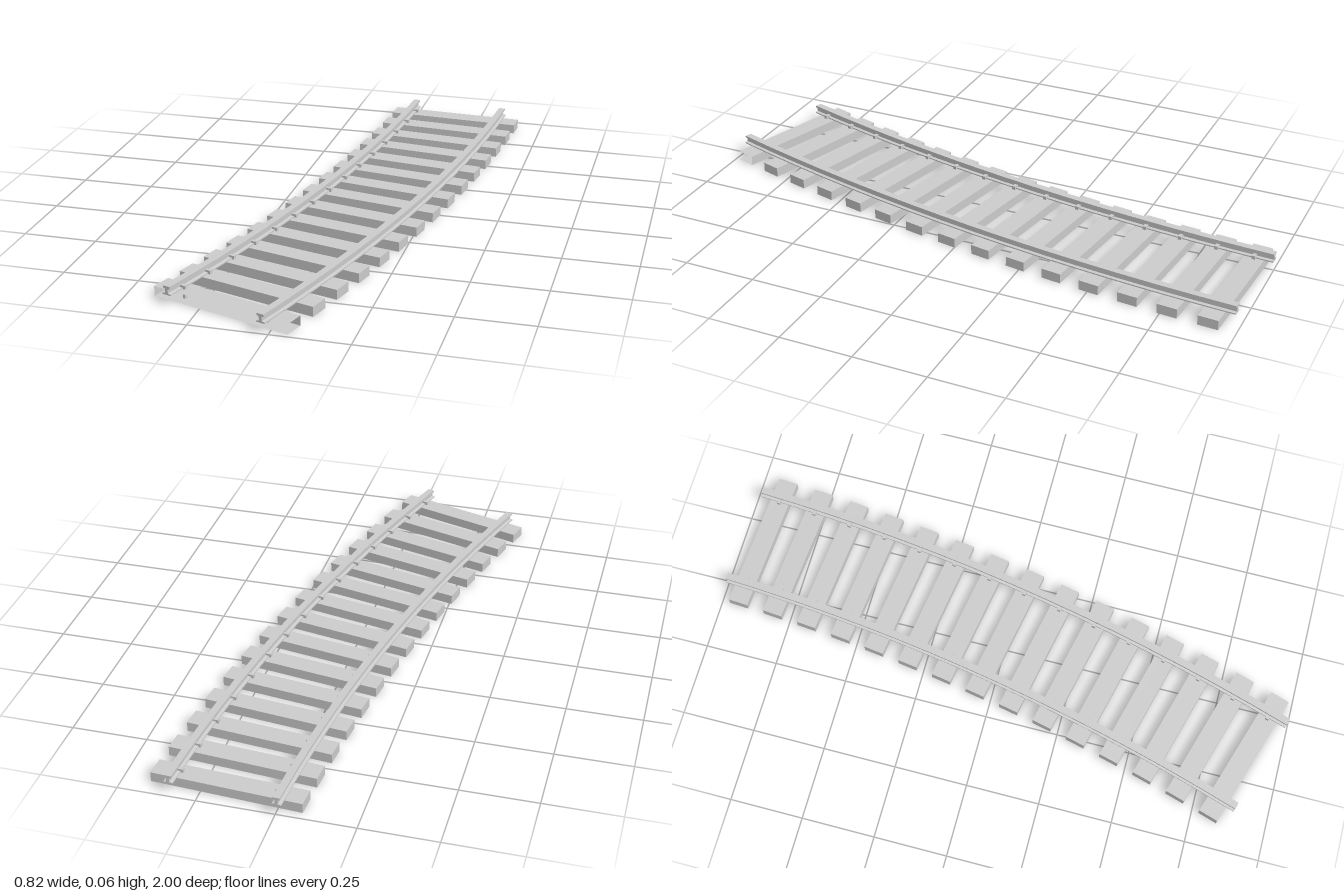
import * as THREE from 'three';

const RADIUS = 7.526;                 // centreline of the curve
const HALF_GAUGE = 0.173;
const START = THREE.MathUtils.degToRad(3);
const STEP = THREE.MathUtils.degToRad(1);   // one sleeper per degree
const SLEEPERS = 15;
const TOP = 0.033;                    // top of the sleepers

const grey = new THREE.MeshStandardMaterial({ color: 0xcccccc, flatShading: true, side: THREE.DoubleSide });

function box(name, w, h, d, x, y) {
  const mesh = new THREE.Mesh(new THREE.BoxGeometry(w, h, d), grey);
  mesh.name = name;
  mesh.position.set(x, y, 0);
  return mesh;
}

// I-shaped section extruded, then bent round the curve (z becomes the angle)
function makeRail(name, radius) {
  const half = [[0.015, TOP], [0.015, 0.037], [0.005, 0.039], [0.005, 0.053], [0.012, 0.055], [0.012, 0.062]];
  const section = [...half, ...half.map(([x, y]) => [-x, y]).reverse()];
  const shape = new THREE.Shape(section.map(([x, y]) => new THREE.Vector2(x, y)));
  const geometry = new THREE.ExtrudeGeometry(shape, { depth: 1, steps: SLEEPERS, bevelEnabled: false });
  const p = geometry.attributes.position;
  for (let i = 0; i < p.count; i++) {
    const r = radius + p.getX(i);
    const a = START + p.getZ(i) * SLEEPERS * STEP;
    p.setXYZ(i, r * Math.cos(a), p.getY(i), r * Math.sin(a));
  }
  geometry.computeVertexNormals();
  const rail = new THREE.Mesh(geometry, grey);
  rail.name = name;
  return rail;
}

// Spike through the sleeper with a hook over the rail foot; side is -1 or 1
function makeSpike(side) {
  const spike = new THREE.Group();
  spike.name = 'railSpike';
  spike.add(
    box('spikeShank', 0.008, 0.042, 0.012, side * (HALF_GAUGE - 0.020), 0.024),
    box('spikeHook', 0.012, 0.007, 0.012, side * (HALF_GAUGE - 0.011), 0.0415)
  );
  return spike;
}

export function createModel() {
  const model = new THREE.Group();
  model.name = 'curvedTrack';

  // Everything is laid out round the centre of the curve
  const track = new THREE.Group();
  track.name = 'track';
  track.position.set(-7.3464, 0, -1.3839);
  model.add(track);

  track.add(makeRail('innerRail', RADIUS - HALF_GAUGE), makeRail('outerRail', RADIUS + HALF_GAUGE));

  for (let i = 0; i < SLEEPERS; i++) {
    const angle = START + (i + 0.5) * STEP;
    const tie = new THREE.Group();
    tie.name = 'sleeperWithSpikes';
    tie.position.set(RADIUS * Math.cos(angle), 0, RADIUS * Math.sin(angle));
    tie.rotation.y = -angle;
    const sleeper = box('sleeper', 0.49, TOP, 0.068, 0, TOP / 2);
    // The front sleeper is a shell, open at its front and left end
    if (i === SLEEPERS - 1) {
      const index = Array.from(sleeper.geometry.index.array);
      sleeper.geometry.setIndex([...index.slice(6, 24), ...index.slice(30)]);
      sleeper.geometry.clearGroups();
    }
    tie.add(sleeper, makeSpike(-1), makeSpike(1));
    track.add(tie);
  }
  return model;
}
